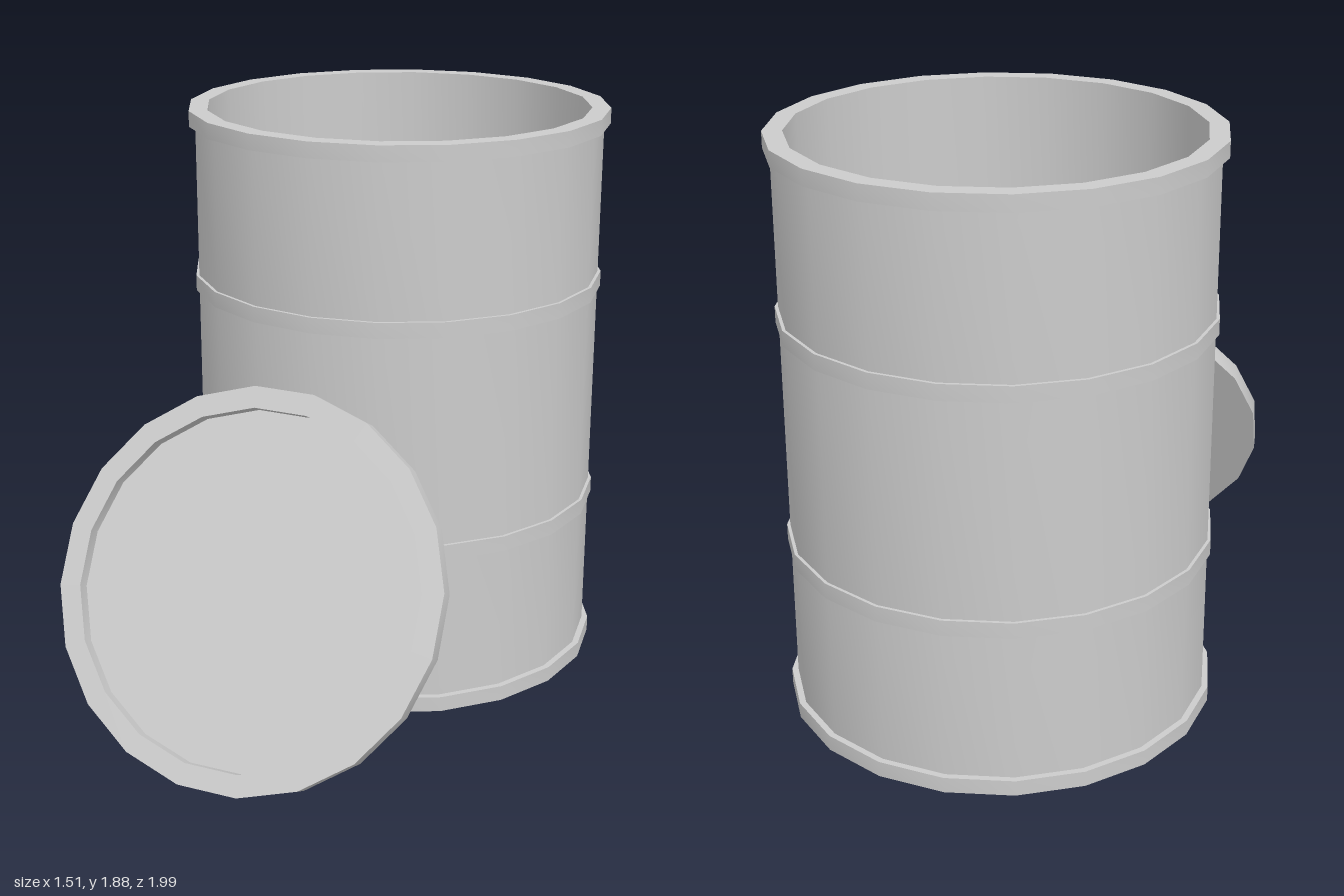
import * as THREE from 'three';
import { toCreasedNormals } from 'three/addons/utils/BufferGeometryUtils.js';

const SIDES = 20;
const material = new THREE.MeshStandardMaterial({ color: 0xcccccc });

// Closed turned solid from [radius, height] pairs, smooth around, sharp at corners
function turned(name, profile) {
  const points = profile.map(([r, y]) => new THREE.Vector2(r, y));
  const mesh = new THREE.Mesh(toCreasedNormals(new THREE.LatheGeometry(points, SIDES), 0.6), material);
  mesh.name = name;
  return mesh;
}

// Outer steps of a raised band around the barrel wall
const WALL = 0.66;
const band = (r, y0, y1) => [[WALL, y0], [r, y0], [r, y1], [WALL, y1]];

export function createModel() {
  const model = new THREE.Group();
  model.name = 'barrelWithLid';

  // Open barrel: base rim, two hoops, top rim, hollow inside
  const barrel = turned('barrel', [
    [0, 0.05], [0.68, 0.05], [0.68, 0.1], [WALL, 0.1],
    ...band(0.67, 0.575, 0.625),
    ...band(0.67, 1.303, 1.353),
    [WALL, 1.84], [0.68, 1.84], [0.68, 1.89],
    [0.62, 1.89], [0.62, 0.1], [0, 0.1],
  ]);
  barrel.position.set(-0.075, 0, -0.32);
  model.add(barrel);

  // Shallow dished lid leaning on the barrel, dish facing outward
  const lid = turned('lid', [
    [0, -0.03], [0.62, -0.03], [0.62, 0.03],
    [0.552, 0.03], [0.552, -0.015], [0, -0.015],
  ]);
  const facing = new THREE.Vector3(0.335, 0.455, 0.825).normalize();
  const side = new THREE.Vector3(0.58, -0.1, -0.176).projectOnPlane(facing).normalize();
  const third = new THREE.Vector3().crossVectors(side, facing);
  lid.quaternion.setFromRotationMatrix(new THREE.Matrix4().makeBasis(side, facing, third));
  lid.position.set(0.16, 0.567, 0.619);
  model.add(lid);

  return model;
}
